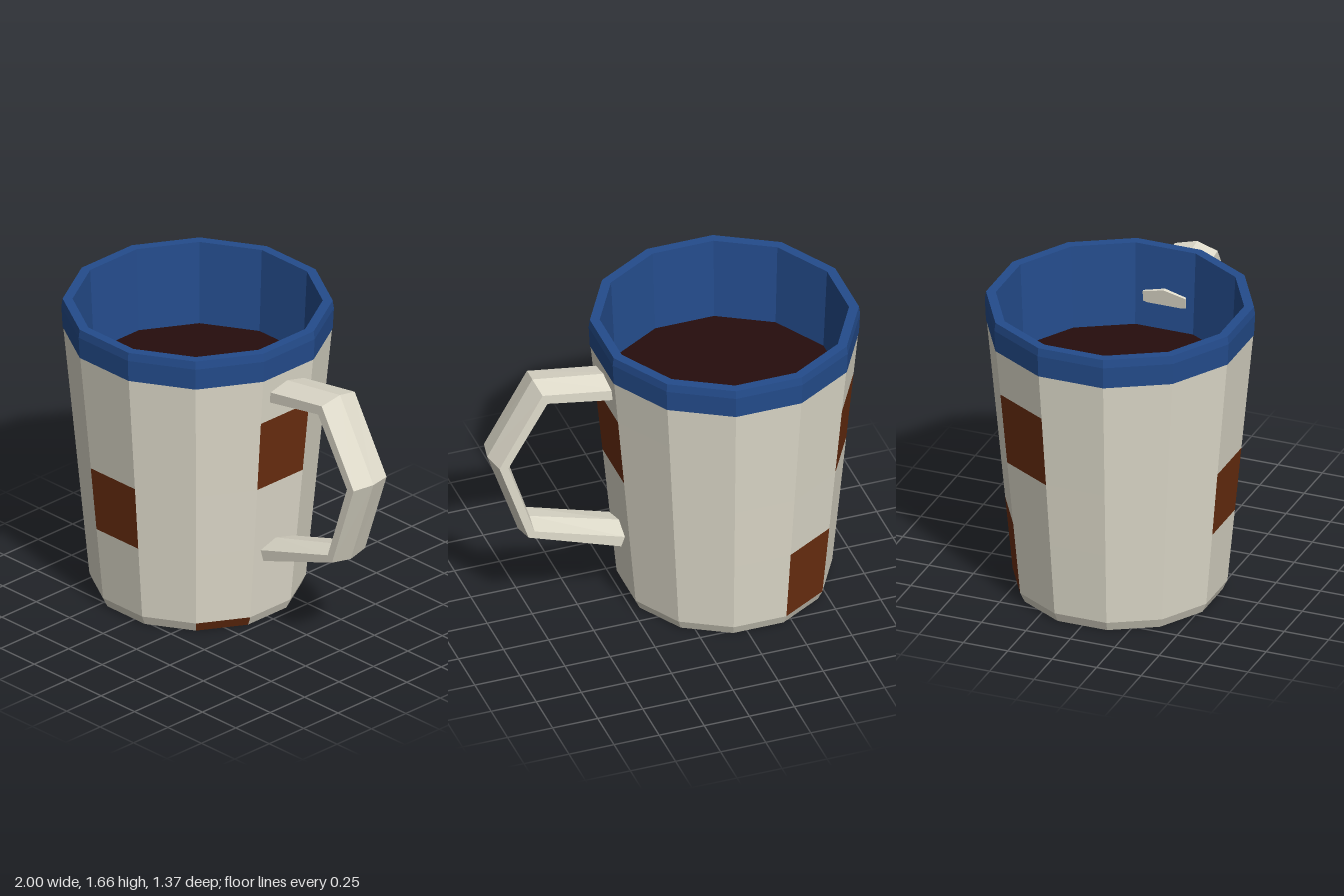
import * as THREE from 'three';

const SIDES = 12;
const STEP = Math.PI / 6;
const CENTRE_X = -0.315;
const toRadius = (flat) => flat / Math.cos(Math.PI / 12); // flat-side distance to corner radius

const material = (name, color) => {
  const m = new THREE.MeshStandardMaterial({ color });
  m.name = name;
  return m;
};

// Faceted shading through split normals
function faceted(geometry) {
  const g = geometry.index ? geometry.toNonIndexed() : geometry;
  g.computeVertexNormals();
  return g;
}

function part(name, geometry, mat) {
  const mesh = new THREE.Mesh(geometry, mat);
  mesh.name = name;
  return mesh;
}

function disc(flat, y, up) {
  const g = new THREE.CircleGeometry(toRadius(flat), SIDES, Math.PI / 12);
  return g.rotateX(up ? -Math.PI / 2 : Math.PI / 2).translate(0, y, 0);
}

// Flattened six-sided bar swept between an outer and an inner ridge line
function handleGeometry(outer, inner, halfWidth) {
  const section = [[0, 0], [0.25, 1], [0.75, 1], [1, 0], [0.75, -1], [0.25, -1]];
  const n = section.length;
  const positions = [];
  outer.forEach((o, i) => {
    for (const [t, side] of section) {
      positions.push(
        THREE.MathUtils.lerp(o[0], inner[i][0], t),
        THREE.MathUtils.lerp(o[1], inner[i][1], t),
        side * halfWidth
      );
    }
  });
  const index = [];
  for (let i = 0; i < outer.length - 1; i++) {
    for (let j = 0; j < n; j++) {
      const a = i * n + j;
      const b = i * n + ((j + 1) % n);
      index.push(a, b, b + n, a, b + n, a + n);
    }
  }
  const last = (outer.length - 1) * n;
  for (let j = 1; j < n - 1; j++) {
    index.push(0, j + 1, j); // upper end
    index.push(last, last + j, last + j + 1); // lower end
  }
  const g = new THREE.BufferGeometry();
  g.setAttribute('position', new THREE.Float32BufferAttribute(positions, 3));
  g.setIndex(index);
  return faceted(g);
}

export function createModel() {
  const cream = material('cream enamel', 0xe0dccc);
  const blue = material('blue enamel', 0x244c8c);
  const rust = material('rust brown', 0x6b2e10);
  const coffee = material('dark coffee', 0x260d0d);

  const model = new THREE.Group();
  model.name = 'mug';
  const cup = new THREE.Group();
  cup.name = 'cup';
  cup.position.x = CENTRE_X;
  model.add(cup);

  // Body rows: [height, flat-side distance]; side 0 faces the front, counted towards +x
  const rows = [[0, 0.52], [0.055, 0.545], [0.47, 0.583], [0.835, 0.616], [1.24, 0.653], [1.5, 0.677]];
  const rustSides = [[2], [7], [0], [3, 8], []];
  rustSides.forEach((rusty, i) => {
    const [y0, r0] = rows[i];
    const [y1, r1] = rows[i + 1];
    const g = new THREE.CylinderGeometry(
      toRadius(r1), toRadius(r0), y1 - y0, SIDES, 1, true, -STEP / 2
    );
    g.translate(0, (y0 + y1) / 2, 0);
    g.clearGroups();
    for (let k = 0; k < SIDES; k++) g.addGroup(k * 6, 6, rusty.includes(k) ? 1 : 0);
    cup.add(part(`bodyBand${i + 1}`, faceted(g), [cream, rust]));
  });
  cup.add(part('base', disc(0.52, 0, false), cream));

  // Rim band, lip and inner wall
  const rimProfile = [[0.68, 1.5], [0.686, 1.62], [0.68, 1.665], [0.63, 1.665], [0.607, 1.18]]
    .map(([r, y]) => new THREE.Vector2(toRadius(r), y));
  const rim = new THREE.LatheGeometry(rimProfile, SIDES, -STEP / 2);
  cup.add(part('rimAndInnerWall', faceted(rim), blue));

  // Drink surface
  cup.add(part('coffeeSurface', disc(0.609, 1.2, true), coffee));

  // Handle, from the upper joint round to the lower one
  const outer = [[0.285, 1.43], [0.75, 1.5], [1.0, 1.064], [0.83, 0.567], [0.31, 0.374]];
  const inner = [[0.303, 1.312], [0.695, 1.385], [0.9, 1.05], [0.765, 0.63], [0.27, 0.486]];
  model.add(part('handle', handleGeometry(outer, inner, 0.12), cream));

  return model;
}
